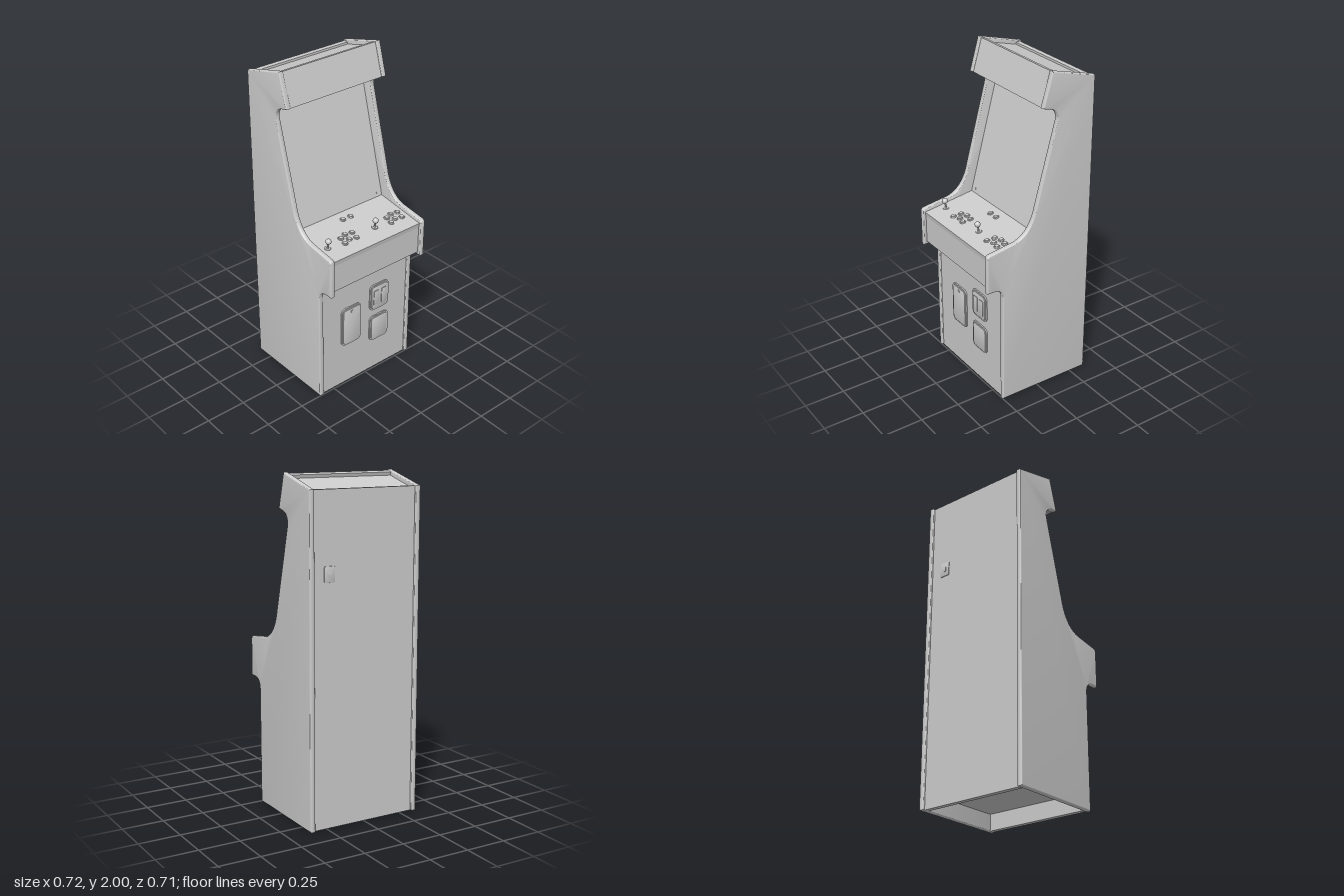
import * as THREE from 'three';
import { toCreasedNormals } from 'three/addons/utils/BufferGeometryUtils.js';

const mat = new THREE.MeshStandardMaterial({ color: 0xcccccc });
const INNER = 0.33, OUTER = 0.36;

function add(parent, name, geo, x = 0, y = 0, z = 0) {
  const m = new THREE.Mesh(geo, mat);
  m.name = name;
  m.position.set(x, y, z);
  parent.add(m);
  return m;
}

// Extrudes a (z, y) outline across x, from x0 to x1
function acrossX(shape, x0, x1, bevel = 0) {
  const geo = new THREE.ExtrudeGeometry(shape, {
    depth: x1 - x0 - 2 * bevel, curveSegments: 14, bevelEnabled: bevel > 0,
    bevelSize: bevel, bevelThickness: bevel, bevelOffset: -bevel, bevelSegments: 4,
  });
  geo.rotateY(-Math.PI / 2).translate(x1 - bevel, 0, 0);
  return toCreasedNormals(geo, 0.6);
}

// Board from a to b, given as (z, y), with its thickness on the left of the way from a to b
function board(parent, name, a, b, t = 0.03) {
  const A = new THREE.Vector2(...a), B = new THREE.Vector2(...b);
  const d = B.clone().sub(A).normalize();
  const n = new THREE.Vector2(-d.y, d.x).multiplyScalar(t);
  const shape = new THREE.Shape([A, B, B.clone().add(n), A.clone().add(n)]);
  return add(parent, name, acrossX(shape, -INNER, INNER));
}

function roundedRect(w, h, r, Type = THREE.Shape) {
  const s = new Type(), x = w / 2, y = h / 2;
  s.absarc(x - r, y - r, r, 0, Math.PI / 2);
  s.absarc(-x + r, y - r, r, Math.PI / 2, Math.PI);
  s.absarc(-x + r, -y + r, r, Math.PI, Math.PI * 1.5);
  s.absarc(x - r, -y + r, r, Math.PI * 1.5, Math.PI * 2);
  s.closePath();
  return s;
}

function plate(w, h, r, depth, bevel) {
  const geo = new THREE.ExtrudeGeometry(roundedRect(w, h, r), {
    depth: depth - bevel, bevelEnabled: true, bevelSize: bevel,
    bevelThickness: bevel, bevelOffset: -bevel, bevelSegments: 2, curveSegments: 8,
  });
  return toCreasedNormals(geo, 0.6);
}

function lathe(points, segments = 28) {
  const geo = new THREE.LatheGeometry(points.map(p => new THREE.Vector2(...p)), segments);
  return toCreasedNormals(geo, 0.6);
}

function sideShape() {
  const s = new THREE.Shape();
  s.moveTo(-0.357, 0);
  s.lineTo(0.25, 0);
  s.lineTo(0.25, 0.705);
  s.quadraticCurveTo(0.25, 0.77, 0.315, 0.77);
  s.lineTo(0.354, 0.77);
  s.lineTo(0.354, 0.99);
  s.quadraticCurveTo(0.354, 1.012, 0.332, 1.015);
  s.lineTo(0.175, 1.038);
  s.bezierCurveTo(0.09, 1.055, 0.045, 1.13, 0.025, 1.22);
  s.lineTo(-0.106, 1.705);
  s.bezierCurveTo(-0.118, 1.755, -0.085, 1.785, -0.045, 1.79);
  s.lineTo(-0.01, 1.8);
  s.lineTo(-0.068, 2);
  s.lineTo(-0.357, 1.922);
  s.closePath();
  return s;
}

export function createModel() {
  const root = new THREE.Group();
  root.name = 'arcadeCabinet';

  // Side panels with rounded edging
  add(root, 'leftSidePanel', acrossX(sideShape(), INNER - 0.002, OUTER, 0.008));
  add(root, 'rightSidePanel', acrossX(sideShape(), -OUTER, -INNER + 0.002, 0.008));

  // Boards between the sides
  board(root, 'lowerFrontPanel', [0.24, 0], [0.24, 0.8]);
  board(root, 'controlBoxBottom', [0.212, 0.79], [0.33, 0.79], 0.02);
  board(root, 'controlBoxFront', [0.335, 0.79], [0.335, 0.962]);
  board(root, 'controlPanel', [0.34, 0.99], [0.0, 1.0415]);
  board(root, 'screenPanel', [0.012, 1.03], [-0.184, 1.77], 0.02);
  board(root, 'speakerPanel', [-0.2, 1.757], [-0.03, 1.8], 0.02);
  board(root, 'marquee', [-0.016, 1.798], [-0.074, 1.994]);
  board(root, 'topPanel', [-0.09, 1.968], [-0.33, 1.902], 0.02);
  board(root, 'backPanel', [-0.344, 1.92], [-0.344, 0]);
  board(root, 'floorPanel', [-0.32, 0.1], [0.22, 0.1], 0.02);

  // Controls stand at right angles to the sloping control panel
  const controls = new THREE.Group();
  controls.name = 'controls';
  root.add(controls);
  const slope = 0.0515 / 0.34;
  const onPanel = (name, x, z) => {
    const g = new THREE.Group();
    g.name = name;
    g.position.set(x, 0.99 + (0.34 - z) * slope, z);
    g.rotation.x = Math.atan(slope);
    controls.add(g);
    return g;
  };
  const buttonGeo = lathe([[0.018, -0.003], [0.018, 0.003], [0.016, 0.006], [0.013, 0.006],
    [0.012, 0.003], [0.0115, 0.009], [0.009, 0.0105], [0, 0.0105]]);
  const stickGeo = lathe([[0.019, -0.002], [0.019, 0.002], [0.017, 0.004], [0.007, 0.005],
    [0.005, 0.012], [0.005, 0.045]]);
  const ballGeo = new THREE.SphereGeometry(0.0175, 24, 16);
  const button = (x, z) => add(onPanel('button', x, z), 'buttonCap', buttonGeo);

  for (const x of [-0.031, 0.027]) button(x, 0.071);
  const cluster = [[-0.155, 0.198], [-0.111, 0.183], [-0.065, 0.19],
    [-0.163, 0.245], [-0.118, 0.229], [-0.072, 0.238]];
  for (const dx of [0, 0.353]) {
    for (const [x, z] of cluster) button(x + dx, z);
    const stick = onPanel('joystick', -0.275 + dx, 0.226);
    add(stick, 'joystickShaft', stickGeo);
    add(stick, 'joystickBall', ballGeo, 0, 0.05, 0);
  }

  // Coin doors: raised rim around an inset door
  const door = (name, x, y, w, h) => {
    const g = new THREE.Group();
    g.name = name;
    g.position.set(x, y, 0.238);
    root.add(g);
    const rim = roundedRect(w, h, 0.03);
    rim.holes.push(roundedRect(w - 0.018, h - 0.018, 0.022, THREE.Path));
    const rimGeo = new THREE.ExtrudeGeometry(rim, { depth: 0.01, bevelEnabled: false, curveSegments: 8 });
    add(g, 'doorRim', toCreasedNormals(rimGeo, 0.6));
    add(g, 'doorPlate', plate(w - 0.02, h - 0.02, 0.021, 0.015, 0.003));
    return g;
  };
  const service = door('serviceDoor', -0.113, 0.415, 0.15, 0.265);
  const coin = door('coinDoor', 0.107, 0.529, 0.147, 0.178);
  door('cashDoor', 0.107, 0.304, 0.147, 0.178);
  for (const x of [-0.03, 0.03]) add(coin, 'coinSlot', plate(0.038, 0.1, 0.005, 0.005, 0.001), x, 0, 0.014);
  const lock = add(service, 'doorLock', new THREE.CylinderGeometry(0.01, 0.01, 0.006, 20), 0, 0.1, 0.016);
  lock.rotation.x = Math.PI / 2;

  // Speaker rings under the marquee and screws at the screen corners
  const underTilt = Math.atan2(0.043, 0.17);
  for (const s of [-1, 1]) {
    const ring = add(root, 'speakerRing', new THREE.TorusGeometry(0.052, 0.003, 8, 36), s * 0.225, 1.778, -0.115);
    ring.rotation.x = Math.PI / 2 - underTilt;
    for (const y of [1.065, 1.725]) {
      const z = 0.012 - (y - 1.03) * 0.265;
      const screw = add(root, 'screenScrew', new THREE.CylinderGeometry(0.006, 0.006, 0.004, 16), s * 0.295, y, z);
      screw.rotation.x = Math.PI / 2 - Math.atan(0.265);
    }
  }

  // Latch on the back
  const latch = new THREE.Group();
  latch.name = 'backLatch';
  latch.position.set(0.229, 1.46, -0.343);
  latch.rotation.y = Math.PI;
  root.add(latch);
  add(latch, 'latchPlate', plate(0.067, 0.09, 0.006, 0.005, 0.0015));
  add(latch, 'latchBolt', plate(0.02, 0.03, 0.004, 0.003, 0.001), 0, 0, 0.004);

  return root;
}
